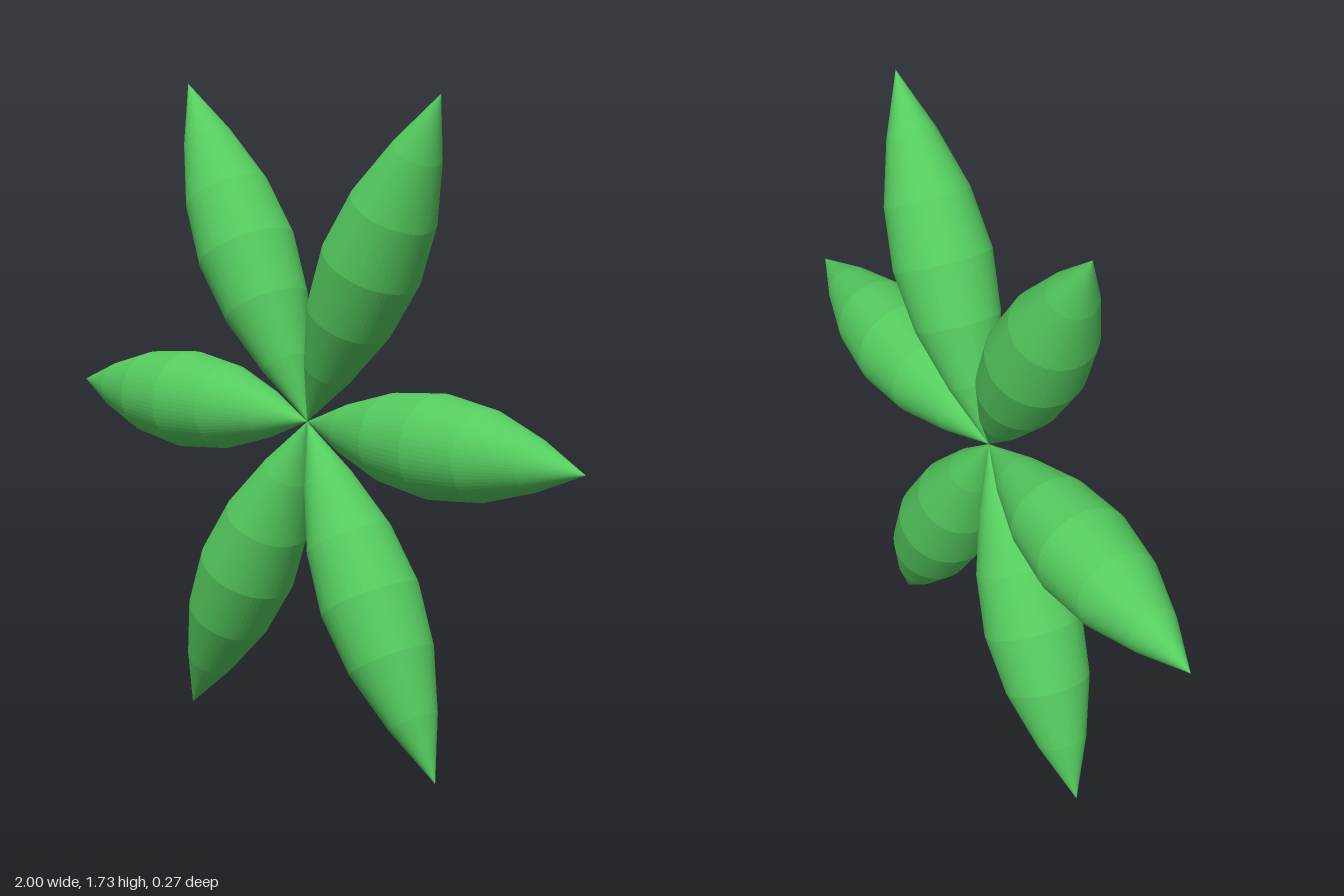
import * as THREE from 'three';

const PETALS = 6, LENGTH = 1, RADIUS = 0.133, RINGS = 6, SIDES = 64;

export function createModel() {
  const group = new THREE.Group();
  group.name = 'flower';
  const material = new THREE.MeshStandardMaterial({ color: 0x55cc5f, flatShading: true });

  // Spindle-shaped petal: half a sine wave turned about its long axis
  const profile = [];
  for (let i = 0; i <= RINGS; i++) {
    const t = i / RINGS;
    const r = i === 0 || i === RINGS ? 0 : RADIUS * Math.sin(Math.PI * t);
    profile.push(new THREE.Vector2(r, LENGTH * t));
  }
  const petalGeometry = new THREE.LatheGeometry(profile, SIDES);

  // Petals radiate from one centre in the upright plane
  const centreY = LENGTH * Math.sin(Math.PI / 3);
  for (let i = 0; i < PETALS; i++) {
    const petal = new THREE.Mesh(petalGeometry, material);
    petal.name = `petal${i + 1}`;
    petal.position.y = centreY;
    petal.rotation.z = (i / PETALS) * Math.PI * 2 - Math.PI / 2;
    group.add(petal);
  }
  return group;
}
